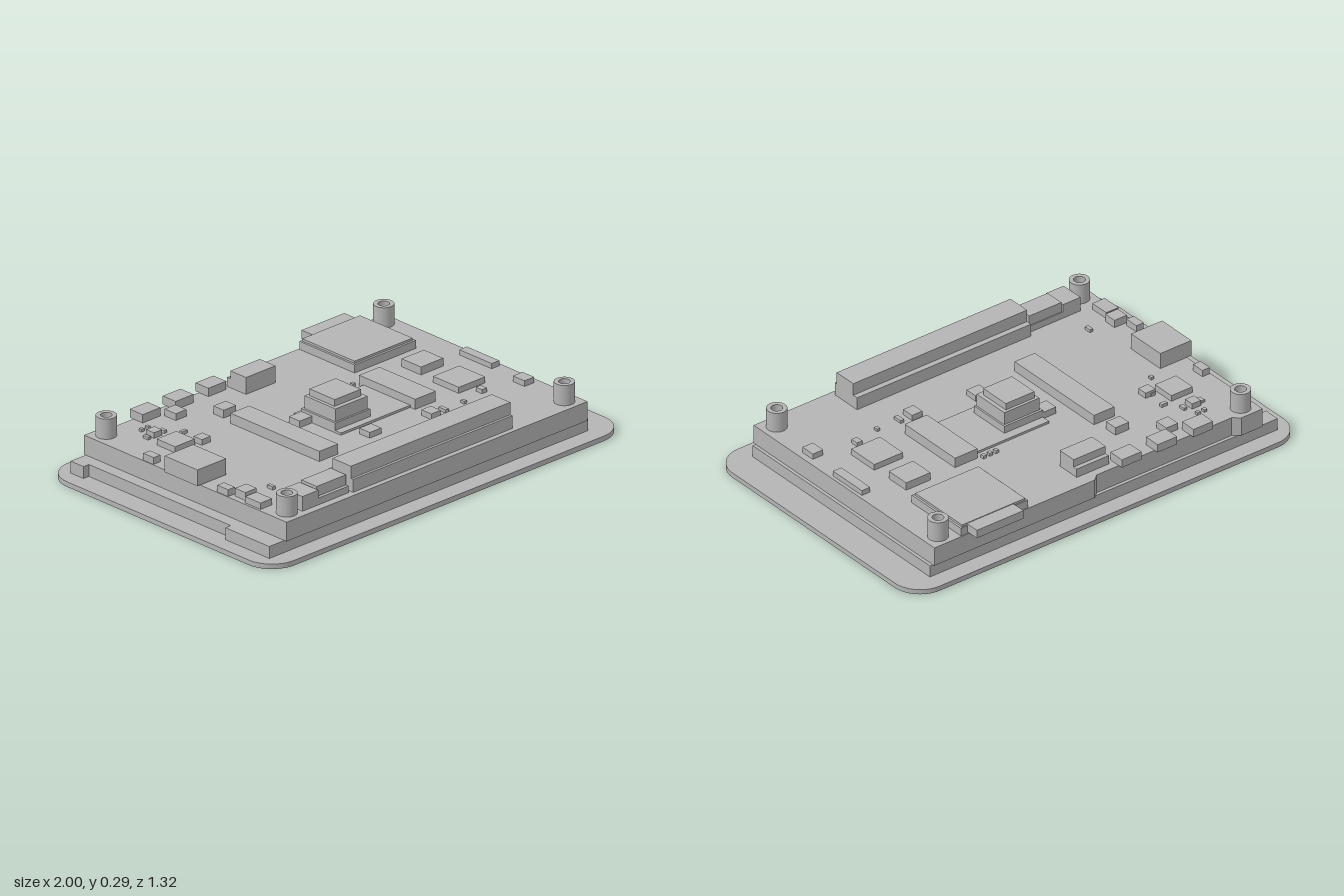
import * as THREE from 'three';

const grey = new THREE.MeshStandardMaterial({ color: 0xb4b4b4 });
grey.name = 'plain grey';

const BOARD = 0.16; // top of the circuit board

export function createModel() {
  const model = new THREE.Group();
  model.name = 'displayBoard';

  const add = (name, geometry, parent = model) => {
    const mesh = new THREE.Mesh(geometry, grey);
    mesh.name = name;
    parent.add(mesh);
    return mesh;
  };

  // Box given by its x, y and z limits
  const box = (name, x0, x1, z0, z1, y1, y0 = BOARD) =>
    add(name, new THREE.BoxGeometry(x1 - x0, y1 - y0, z1 - z0)
      .translate((x0 + x1) / 2, (y0 + y1) / 2, (z0 + z1) / 2));

  // Horizontal slab from an outline in x and z
  const slab = (name, shape, y0, y1) =>
    add(name, new THREE.ExtrudeGeometry(shape, { depth: y1 - y0, bevelEnabled: false, curveSegments: 12 })
      .rotateX(-Math.PI / 2).translate(0, y0, 0));
  const outline = (points) => new THREE.Shape(points.map(([x, z]) => new THREE.Vector2(x, -z)));

  // Glass plate with rounded corners
  const r = 0.13, hx = 1, hz = 0.658;
  const plate = new THREE.Shape();
  plate.absarc(hx - r, hz - r, r, 0, Math.PI / 2);
  plate.absarc(-hx + r, hz - r, r, Math.PI / 2, Math.PI);
  plate.absarc(-hx + r, -hz + r, r, Math.PI, Math.PI * 1.5);
  plate.absarc(hx - r, -hz + r, r, Math.PI * 1.5, Math.PI * 2);
  slab('glassPlate', plate, 0, 0.022);

  // Screen panel with a shallow recess on its right side
  slab('screenPanel', outline([
    [-0.93, 0.575], [0.86, 0.575], [0.86, -0.58], [-0.93, -0.58],
    [-0.93, -0.505], [-0.9, -0.505], [-0.9, 0.32], [-0.93, 0.32],
  ]), 0.022, 0.075);

  // Circuit board block with a cut-back rear edge
  slab('circuitBoard', outline([
    [-0.845, 0.588], [0.845, 0.588], [0.845, -0.59], [0.02, -0.59],
    [-0.01, -0.565], [-0.705, -0.565], [-0.735, -0.59], [-0.845, -0.59],
  ]), 0.075, BOARD);

  // Hollow standoffs in the corners
  const ring = [[0.024, 0], [0.043, 0], [0.043, 0.09], [0.024, 0.09], [0.024, 0]];
  for (const x of [-0.78, 0.778]) {
    for (const z of [-0.528, 0.522]) {
      const post = new THREE.Group();
      post.name = 'standoff';
      post.position.set(x, BOARD, z);
      model.add(post);
      // separate bands keep the rims sharp
      for (let i = 0; i < 4; i++) {
        const band = ring.slice(i, i + 2).map(([a, b]) => new THREE.Vector2(a, b));
        add('standoffBand', new THREE.LatheGeometry(band, 32), post);
      }
    }
  }

  // Long pin header and the two sockets beside it
  box('headerBase', -0.45, 0.445, 0.42, 0.565, 0.217);
  box('headerTop', -0.45, 0.445, 0.445, 0.553, 0.272, 0.217);
  box('smallSocket', -0.725, -0.635, 0.445, 0.555, 0.225);
  box('wideSocket', -0.63, -0.465, 0.45, 0.54, 0.235);
  box('wideSocketBase', -0.635, -0.465, 0.445, 0.555, 0.19);

  // Side port and rear connector
  box('sidePort', -0.865, -0.705, -0.1, 0.09, 0.235, 0.163);
  box('rearConnector', -0.1, 0.065, -0.51, -0.42, 0.235);
  box('rearConnectorLip', -0.1, 0.065, -0.53, -0.51, 0.2);

  // Card slot with the card sticking out at the rear
  box('cardSlot', 0.36, 0.705, -0.585, -0.265, 0.196);
  box('cardSlotLid', 0.37, 0.695, -0.58, -0.275, 0.206, 0.196);
  box('card', 0.43, 0.67, -0.645, -0.57, 0.203, 0.165);

  // Processor with stepped heat spreader
  box('processorPad', -0.1, 0.29, -0.14, 0.132, 0.17);
  box('processorBase', -0.1, 0.098, -0.1, 0.098, 0.203);
  box('processorSpreader', -0.09, 0.09, -0.09, 0.09, 0.26, 0.203);
  box('processorCap', -0.075, 0.072, -0.077, 0.07, 0.29, 0.26);

  // Long connectors and larger chips
  box('ribbonConnector', -0.34, -0.235, -0.262, 0.255, 0.205);
  box('boardConnector', 0.29, 0.405, -0.167, 0.16, 0.205);
  box('memoryChip', 0.54, 0.665, -0.178, -0.065, 0.195);
  box('controllerChip', 0.525, 0.673, 0.02, 0.17, 0.187);
  box('radioChip', -0.7, -0.59, -0.317, -0.21, 0.187);
  box('edgeStrip', 0.787, 0.83, -0.098, 0.09, 0.183);

  // Push buttons on the rear edge
  for (const x of [-0.543, -0.358, -0.174]) box('pushButton', x - 0.05, x + 0.05, -0.585, -0.51, 0.197);

  // Small parts: centre x, centre z, width, depth, height
  const parts = [
    [-0.45, -0.467, 0.06, 0.065, 0.03], [-0.29, -0.347, 0.07, 0.06, 0.035],
    [-0.135, -0.067, 0.07, 0.063, 0.03], [-0.003, 0.203, 0.065, 0.06, 0.025],
    [0.295, 0.247, 0.053, 0.058, 0.025], [0.79, 0.272, 0.054, 0.068, 0.025],
    [-0.642, -0.393, 0.045, 0.045, 0.025], [-0.547, -0.212, 0.05, 0.048, 0.025],
    [-0.822, -0.22, 0.038, 0.06, 0.03], [-0.822, 0.212, 0.038, 0.064, 0.03],
    [-0.786, 0.29, 0.064, 0.06, 0.035], [-0.802, 0.38, 0.064, 0.09, 0.028],
    [0.363, 0.25, 0.018, 0.042, 0.014], [0.476, 0.25, 0.016, 0.02, 0.012],
    [0.604, 0.22, 0.028, 0.036, 0.018], [-0.66, 0.308, 0.016, 0.032, 0.014],
    [-0.545, -0.323, 0.03, 0.016, 0.014], [-0.56, -0.23, 0.02, 0.02, 0.014],
    [-0.633, -0.133, 0.016, 0.016, 0.012], [-0.65, -0.457, 0.016, 0.016, 0.012],
    [-0.615, -0.457, 0.016, 0.016, 0.012], [-0.685, -0.39, 0.016, 0.03, 0.012],
    [-0.594, -0.39, 0.016, 0.03, 0.012], [0.203, -0.179, 0.016, 0.018, 0.014],
    [0.235, -0.179, 0.016, 0.018, 0.014], [0.267, -0.179, 0.016, 0.018, 0.014],
  ];
  for (const [x, z, w, d, h] of parts) {
    box('smallComponent', x - w / 2, x + w / 2, z - d / 2, z + d / 2, BOARD + h);
  }

  return model;
}
